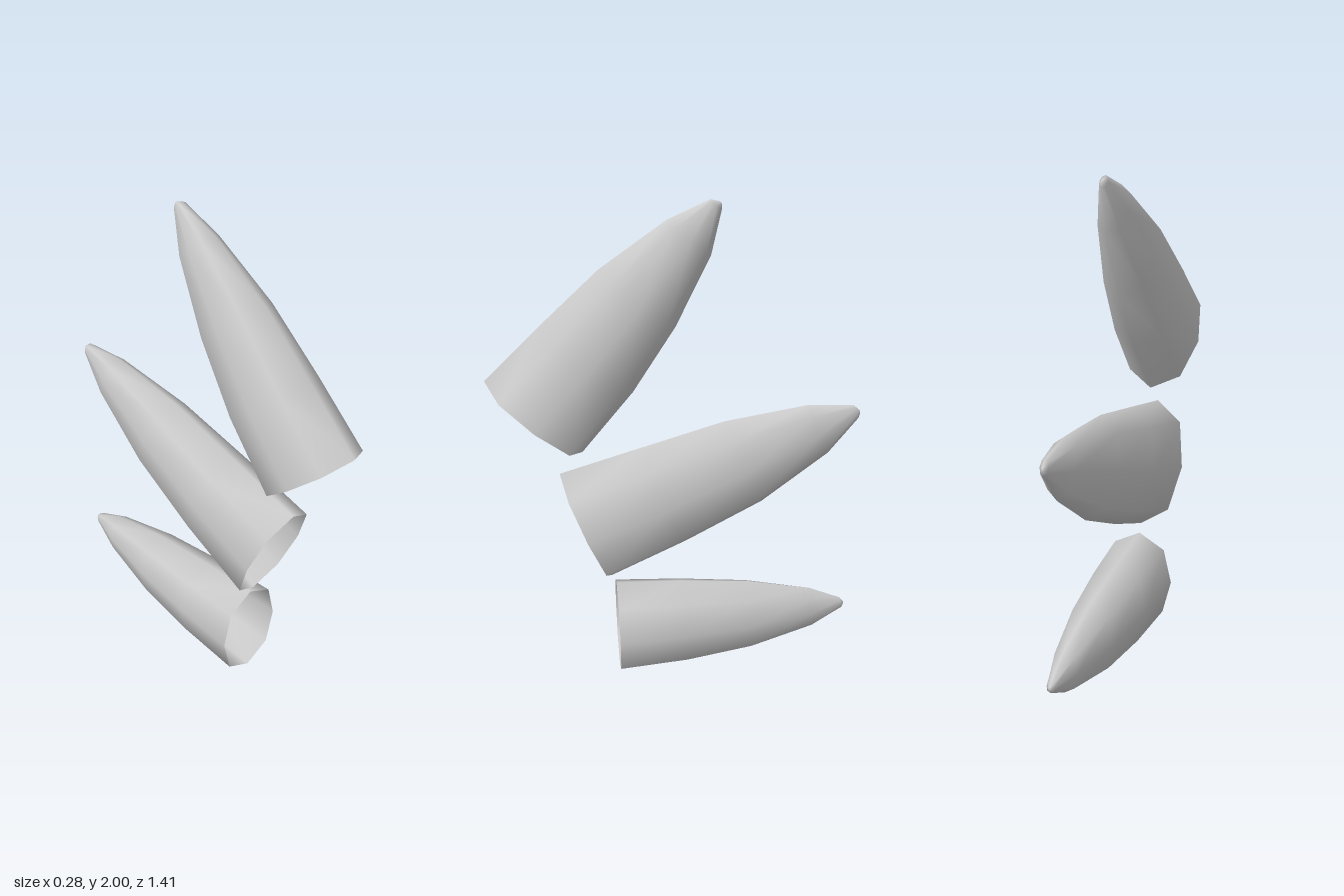
import * as THREE from 'three';

const SIDES = 8;
const HALF_WIDTHS = [0.142, 0.128, 0.1, 0.053, 0.016, 0.003];

// Each ring: top z, top y, bottom z, bottom y, from the open base to the tip
const SPIKES = {
  upperSpike: [
    [0.706, 1.34, 0.357, 1.024], [0.495, 1.549, 0.161, 1.268], [0.278, 1.756, 0.003, 1.523],
    [0.034, 1.931, -0.124, 1.793], [-0.119, 2.0, -0.161, 1.966], [-0.153, 1.991, -0.16, 1.982],
  ],
  middleSpike: [
    [0.447, 0.934, 0.257, 0.456], [0.135, 1.029, -0.04, 0.6], [-0.183, 1.125, -0.336, 0.764],
    [-0.505, 1.178, -0.59, 0.966], [-0.68, 1.167, -0.7, 1.11], [-0.704, 1.143, -0.706, 1.13],
  ],
  lowerSpike: [
    [0.241, 0.419, 0.235, 0.005], [-0.02, 0.408, -0.04, 0.027], [-0.294, 0.385, -0.304, 0.069],
    [-0.548, 0.334, -0.558, 0.149], [-0.675, 0.276, -0.685, 0.231], [-0.692, 0.257, -0.692, 0.245],
  ],
};

// Hollow tapering shell lofted through eight-sided rings, closed at the tip
function spikeGeometry(rings) {
  const positions = [], index = [];
  rings.forEach(([tz, ty, bz, by], i) => {
    for (let j = 0; j < SIDES; j++) {
      const a = (j / SIDES) * Math.PI * 2;
      const s = Math.sin(a), c = Math.cos(a);
      positions.push(
        HALF_WIDTHS[i] * Math.sign(s) * Math.abs(s) ** 0.8,
        (ty + by) / 2 + (c * (ty - by)) / 2,
        (tz + bz) / 2 + (c * (tz - bz)) / 2,
      );
    }
  });
  for (let i = 0; i < rings.length - 1; i++) {
    for (let j = 0; j < SIDES; j++) {
      const k = (j + 1) % SIDES;
      const a = i * SIDES + j, b = i * SIDES + k;
      index.push(a, b, a + SIDES, b, b + SIDES, a + SIDES);
    }
  }
  // Tip cap
  const last = (rings.length - 1) * SIDES;
  for (let j = 1; j < SIDES - 1; j++) index.push(last, last + j, last + j + 1);

  const geometry = new THREE.BufferGeometry();
  geometry.setAttribute('position', new THREE.Float32BufferAttribute(positions, 3));
  geometry.setIndex(index);
  geometry.computeVertexNormals();
  return geometry;
}

export function createModel() {
  const group = new THREE.Group();
  group.name = 'spikes';
  const material = new THREE.MeshStandardMaterial({ color: 0xcccccc, side: THREE.DoubleSide });
  for (const [name, rings] of Object.entries(SPIKES)) {
    const mesh = new THREE.Mesh(spikeGeometry(rings), material);
    mesh.name = name;
    group.add(mesh);
  }
  return group;
}
